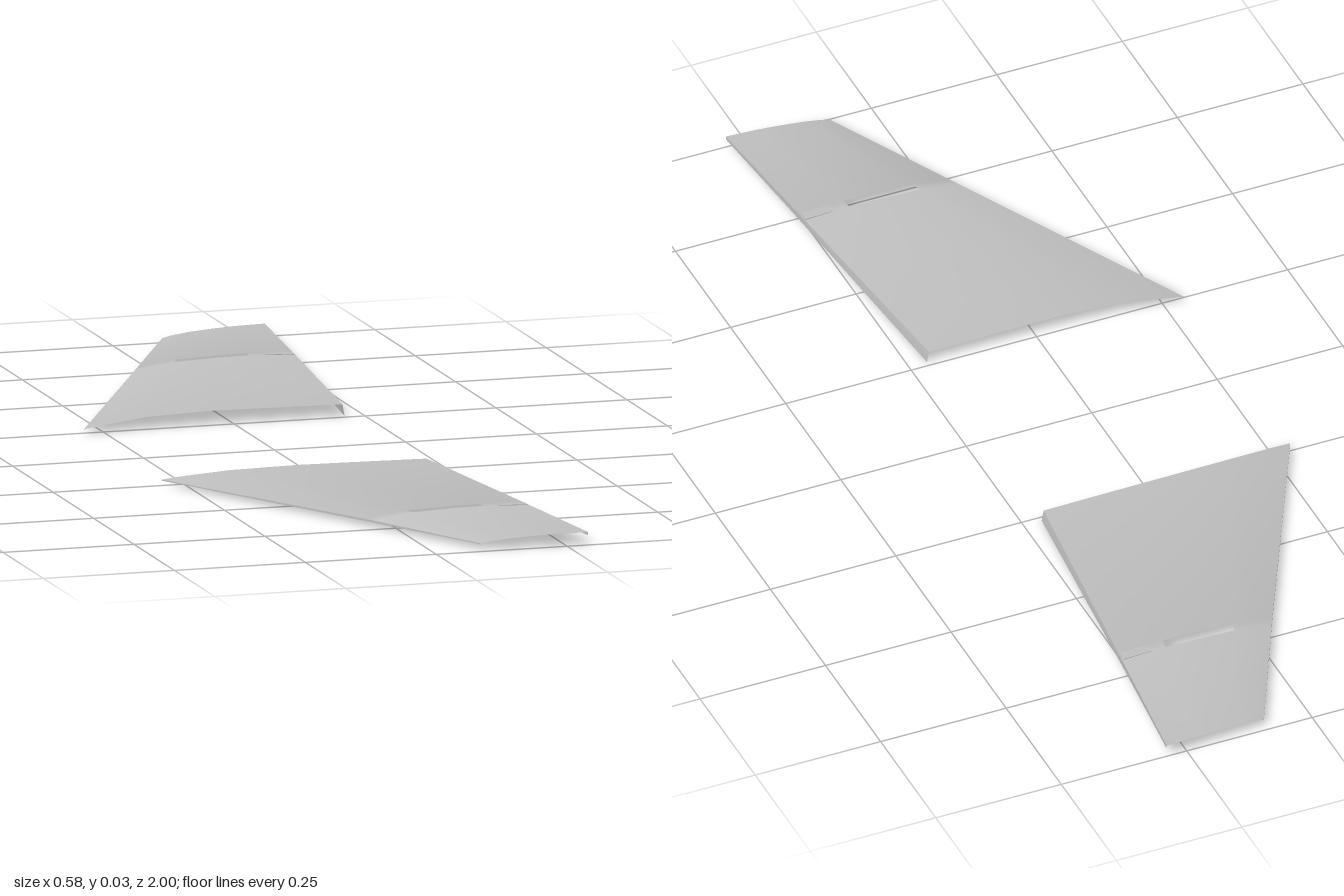
import * as THREE from 'three';

// Chord fractions of the lengthwise grid lines; the slot spans lines 2 to 4
const CHORD = [0, 0.08, 0.25, 0.5, 0.71, 1];
// Span stations from root to tip: z, leading and trailing x, heights along the chord,
// lower edges of the front and rear lips, and lean of the surface normal
const STATIONS = [
  { z: [0.24, 0.245, 0.255, 0.26, 0.26, 0.26], x: [-0.29, 0.21],
    y: [0.009, 0.014, 0.022, 0.025, 0.024, 0.022], front: 0.007, rear: 0, lean: 0 },
  { z: Array(6).fill(0.712), x: [-0.047, 0.259],
    y: [0.013, 0.017, 0.024, 0.027, 0.028, 0.024], front: 0.009, rear: 0.011, lean: -0.2 },
  { z: Array(6).fill(0.732), x: [-0.037, 0.261],
    y: [0.013, 0.017, 0.024, 0.027, 0.028, 0.024], front: 0.009, rear: 0.0115, lean: 0.2 },
  { z: [0.985, 0.987, 0.99, 0.994, 0.997, 1], x: [0.09, 0.29],
    y: [0.012, 0.015, 0.019, 0.022, 0.0235, 0.024], front: 0.01, rear: 0.018, lean: 0 },
];

// Grid of points [row][column] to an indexed surface; skip leaves cells open
function surface(rows, flip, skip = () => false) {
  const n = rows[0].length;
  const index = [];
  for (let r = 0; r < rows.length - 1; r++) {
    for (let c = 0; c < n - 1; c++) {
      if (skip(r, c)) continue;
      const a = r * n + c, b = a + n;
      if (flip) index.push(a, a + 1, b, b, a + 1, b + 1);
      else index.push(a, b, a + 1, b, b + 1, a + 1);
    }
  }
  const geometry = new THREE.BufferGeometry();
  geometry.setAttribute('position', new THREE.Float32BufferAttribute(rows.flat(2), 3));
  geometry.setIndex(index);
  geometry.computeVertexNormals();
  return geometry;
}

export function createModel() {
  const model = new THREE.Group();
  model.name = 'wingPair';
  const metal = new THREE.MeshStandardMaterial({ color: 0xc0c0c0, side: THREE.DoubleSide });
  metal.name = 'lightGrey';

  for (const side of [1, -1]) {
    const wing = new THREE.Group();
    wing.name = side > 0 ? 'frontWing' : 'rearWing';
    const add = (name, geometry) => {
      const mesh = new THREE.Mesh(geometry, metal);
      mesh.name = name;
      wing.add(mesh);
      return mesh;
    };
    const flip = side < 0;
    const rows = STATIONS.map((s) => CHORD.map((u, i) =>
      [THREE.MathUtils.lerp(s.x[0], s.x[1], u), s.y[i], side * s.z[i]]));

    // Cambered skin with an open slot; normals round off the ridge at the slot
    const skin = surface(rows, flip, (r, c) => r === 1 && c >= 2 && c < 4);
    const normal = skin.attributes.normal;
    for (let i = 0; i < normal.count; i++) {
      const lean = STATIONS[Math.floor(i / CHORD.length)].lean;
      normal.setZ(i, normal.getZ(i) + side * lean);
    }
    skin.normalizeNormals();
    add('wingSkin', skin);

    // Folded lips under the leading and trailing edges
    add('leadingEdgeLip', surface(rows.map((row, i) => {
      const [x, y, z] = row[0];
      return [[x, STATIONS[i].front, z], [x, y, z]];
    }), flip));
    add('trailingEdgeLip', surface(rows.map((row, i) => {
      const [x, y, z] = row[5];
      return [[x, y, z], [x + (i === 0 ? 0.004 : 0), STATIONS[i].rear, z]];
    }), flip));

    // Small hinge bracket behind the slot
    const bracket = add('hingeBracket', new THREE.BoxGeometry(0.055, 0.004, 0.02));
    bracket.position.set(0.23, 0.0245, side * 0.722);
    bracket.rotation.z = -0.03;
    model.add(wing);
  }
  return model;
}
